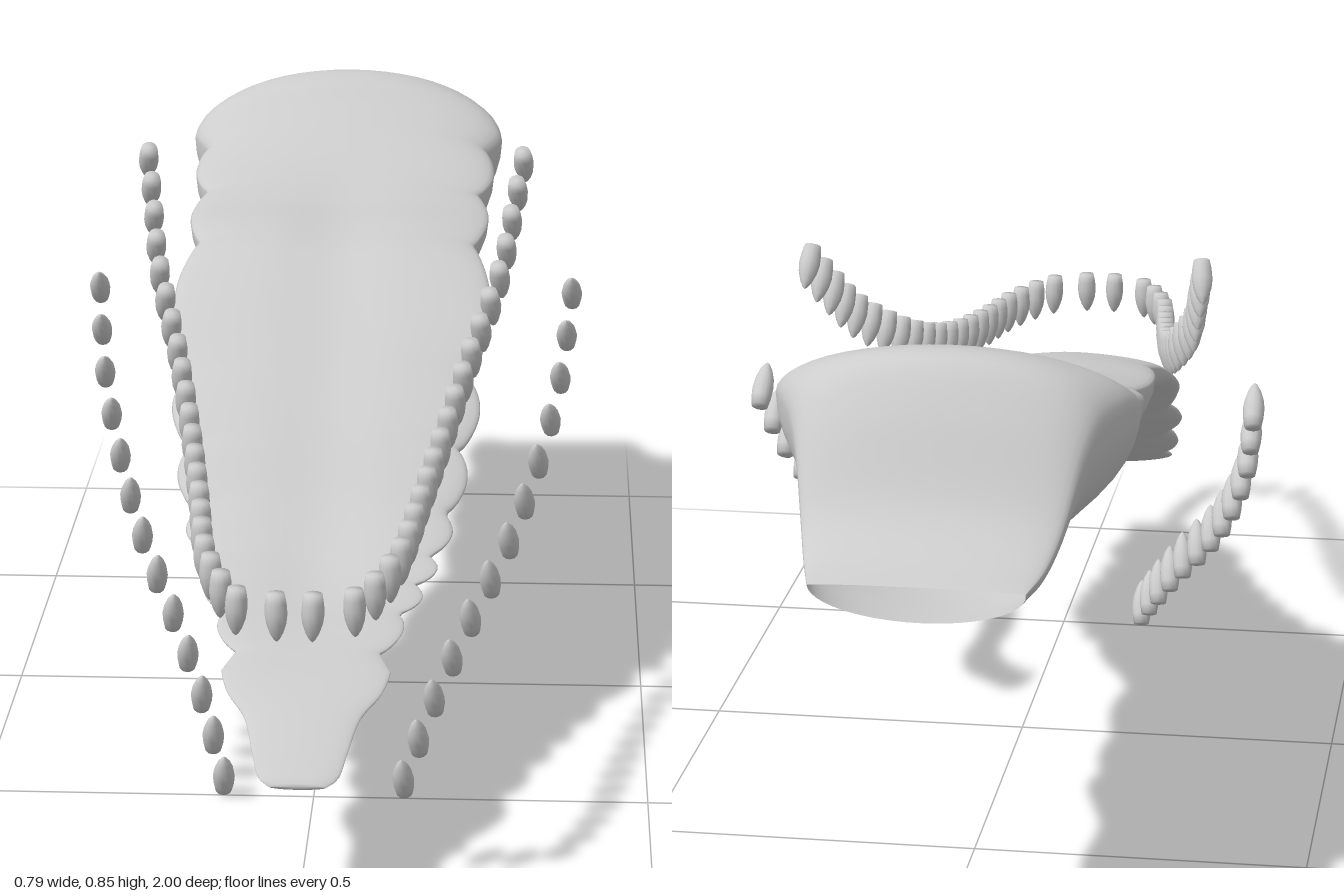
import * as THREE from 'three';

// Tongue stations from root to tip: [z, half width, top y, edge y, bottom y]
const STATIONS = [
  [-1, 0.15, 0.592, 0.588, 0.53], [-0.93, 0.168, 0.62, 0.6, 0.53], [-0.87, 0.183, 0.67, 0.635, 0.53],
  [-0.8, 0.203, 0.785, 0.71, 0.532], [-0.75, 0.222, 0.842, 0.745, 0.532], [-0.68, 0.252, 0.84, 0.755, 0.53],
  [-0.63, 0.262, 0.81, 0.745, 0.53], [-0.5, 0.25, 0.748, 0.715, 0.53], [-0.36, 0.245, 0.715, 0.692, 0.528],
  [-0.25, 0.243, 0.703, 0.68, 0.538], [-0.16, 0.245, 0.685, 0.66, 0.57], [-0.1, 0.25, 0.657, 0.632, 0.585],
  [0, 0.252, 0.602, 0.58, 0.55], [0.1, 0.243, 0.542, 0.515, 0.485], [0.2, 0.23, 0.477, 0.45, 0.42],
  [0.3, 0.211, 0.404, 0.38, 0.36], [0.4, 0.187, 0.352, 0.34, 0.322], [0.5, 0.16, 0.322, 0.312, 0.298],
  [0.6, 0.134, 0.303, 0.293, 0.28], [0.7, 0.122, 0.28, 0.27, 0.257], [0.75, 0.11, 0.265, 0.255, 0.243],
  [0.8, 0.083, 0.247, 0.237, 0.225], [0.87, 0.066, 0.215, 0.207, 0.197], [0.905, 0.056, 0.195, 0.187, 0.18],
  [0.92, 0.04, 0.185, 0.18, 0.176],
];
// Pinches between the scallops of the rim
const NOTCHES = [-0.58, -0.42, -0.2, 0.08, 0.2, 0.3, 0.39, 0.46, 0.54, 0.65];

// Smooth interpolation of the station table at a given z
function stationAt(z) {
  const n = STATIONS.length;
  let i = 0;
  while (i < n - 2 && STATIONS[i + 1][0] < z) i++;
  const a = STATIONS[i], b = STATIONS[i + 1];
  const before = STATIONS[Math.max(0, i - 1)], after = STATIONS[Math.min(n - 1, i + 2)];
  const h = b[0] - a[0], t = (z - a[0]) / h;
  return a.map((v, k) => {
    const m0 = ((b[k] - before[k]) / (b[0] - before[0])) * h;
    const m1 = ((after[k] - a[k]) / (after[0] - a[0])) * h;
    const t2 = t * t, t3 = t2 * t;
    return (2 * t3 - 3 * t2 + 1) * v + (t3 - 2 * t2 + t) * m0 + (3 * t2 - 2 * t3) * b[k] + (t3 - t2) * m1;
  });
}

function notchDepth(z) {
  for (let i = 0; i < NOTCHES.length - 1; i++) {
    const a = NOTCHES[i], b = NOTCHES[i + 1];
    if (z >= a && z <= b) return 0.024 * (1 - Math.pow(Math.max(0, Math.sin((Math.PI * (z - a)) / (b - a))), 0.7));
  }
  const outside = Math.min(Math.abs(z - NOTCHES[0]), Math.abs(z - NOTCHES[NOTCHES.length - 1]));
  return 0.024 * Math.max(0, 1 - outside / 0.05);
}

// Lofted tongue: open at the root, closed at the tip
function tongueGeometry() {
  const rings = 200, sides = 48, pos = [], index = [];
  const { smoothstep } = THREE.MathUtils;
  for (let r = 0; r <= rings + 1; r++) {
    const z = -1 + 1.92 * Math.min(1, r / rings);
    const [, env, top, edge, bottom] = stationAt(z);
    const notch = notchDepth(z);
    const slant = 0.03 * Math.max(0, (-0.9 - z) / 0.1);
    const groove = 0.012 * smoothstep(z, -0.6, -0.2) * smoothstep(0.8 - z, 0, 0.4);
    // the underside draws in below the rim where the body is thick
    const taper = 1 + 0.25 * smoothstep(z, -0.75, -0.5) * (1 - smoothstep(z, -0.2, -0.05));
    for (let s = 0; s < sides; s++) {
      const a = (s / sides) * Math.PI * 2;
      const sn = Math.sin(a), cs = Math.cos(a);
      // the scallops fade out down the underside
      const width = r > rings ? 0 : env - notch * (sn < 0 ? 1 + 0.5 * sn : 1);
      const x = width * Math.sign(cs) * Math.pow(Math.abs(cs), sn < 0 ? taper : 1);
      const rise = sn > 0 ? (top - edge) * Math.pow(sn, 0.95) : (edge - bottom) * sn;
      const dip = sn > 0 ? groove * Math.exp(-((x / 0.07) ** 2)) : 0;
      pos.push(x, r > rings ? edge : edge + rise - dip, z + (sn < 0 ? -sn * slant : 0));
    }
  }
  for (let r = 0; r <= rings; r++) {
    for (let s = 0; s < sides; s++) {
      const a = r * sides + s, b = r * sides + ((s + 1) % sides);
      index.push(a, b, a + sides, b, b + sides, a + sides);
    }
  }
  const g = new THREE.BufferGeometry();
  g.setAttribute('position', new THREE.Float32BufferAttribute(pos, 3));
  g.setIndex(index);
  g.computeVertexNormals();
  return g;
}

// Pointed tooth, root at -y and tip at +y, centred on its middle
function toothGeometry(radius, height) {
  const profile = [[0, -0.5], [0.78, -0.5], [0.94, -0.3], [1, -0.08], [0.88, 0.12], [0.58, 0.32], [0.25, 0.45], [0, 0.5]];
  return new THREE.LatheGeometry(profile.map(([x, y]) => new THREE.Vector2(x * radius, y * height)), 12);
}

// Mirrored row of teeth standing square to a path; splay sets the sideways lean
function toothRow(name, points, count, geometry, direction, splay, material) {
  const group = new THREE.Group();
  group.name = name;
  const curve = new THREE.CatmullRomCurve3(points.map((p) => new THREE.Vector3(...p)));
  for (const side of [1, -1]) {
    for (let i = 0; i < count; i++) {
      const u = i / (count - 1);
      const p = curve.getPointAt(u), t = curve.getTangentAt(u);
      const axis = new THREE.Vector3(0, 1, 0).addScaledVector(t, -t.y);
      axis.x *= side * splay;
      axis.normalize().multiplyScalar(direction);
      p.x *= side;
      const tooth = new THREE.Mesh(geometry, material);
      tooth.name = name + 'Tooth';
      tooth.position.copy(p);
      tooth.quaternion.setFromUnitVectors(new THREE.Vector3(0, 1, 0), axis);
      group.add(tooth);
    }
  }
  return group;
}

export function createModel() {
  const model = new THREE.Group();
  model.name = 'tongueAndTeeth';
  const grey = new THREE.MeshStandardMaterial({ color: 0xcccccc, side: THREE.DoubleSide });
  grey.name = 'lightGrey';

  const tongue = new THREE.Mesh(tongueGeometry(), grey);
  tongue.name = 'tongue';
  model.add(tongue);

  // Upper arch curves around the front, tips down
  model.add(toothRow('upperTeeth', [
    [0.025, 0.452, 0.983], [0.074, 0.451, 0.967], [0.104, 0.455, 0.91], [0.135, 0.464, 0.8],
    [0.16, 0.485, 0.6], [0.187, 0.52, 0.4], [0.222, 0.583, 0.2], [0.268, 0.675, 0.01],
    [0.286, 0.745, -0.1], [0.301, 0.807, -0.19],
  ], 22, toothGeometry(0.016, 0.07), -1, 1, grey));

  // Lower rows climb towards the back, tips up
  model.add(toothRow('lowerTeeth', [
    [0.134, 0.037, 0.51], [0.173, 0.115, 0.395], [0.225, 0.205, 0.28], [0.283, 0.295, 0.165],
    [0.33, 0.395, 0.045], [0.363, 0.5, -0.06], [0.38, 0.61, -0.165],
  ], 13, toothGeometry(0.0165, 0.077), 1, 0.3, grey));

  return model;
}
